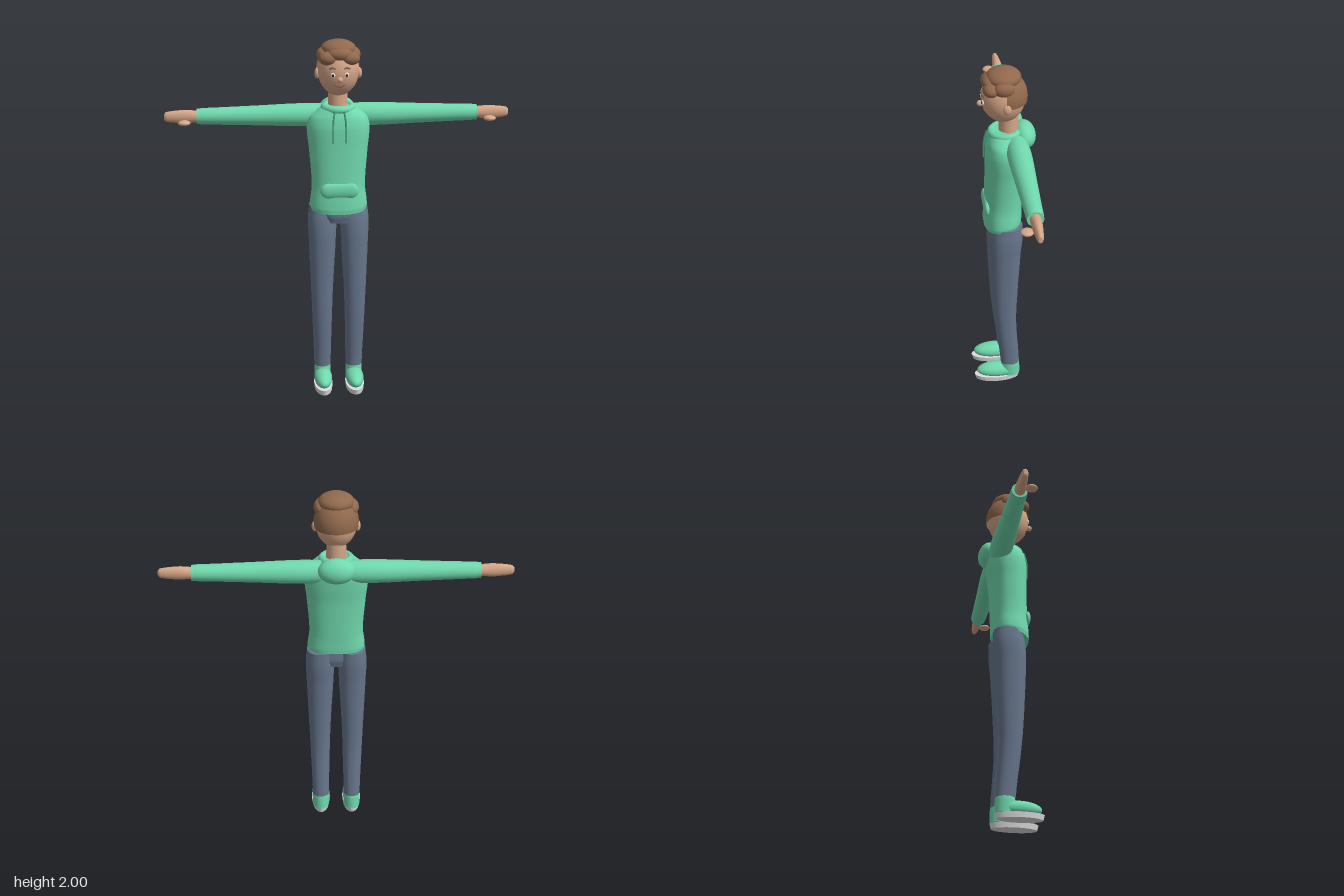
import * as THREE from 'three';

const mat = (name, color) => {
  const m = new THREE.MeshStandardMaterial({ color, side: THREE.DoubleSide });
  m.name = name;
  return m;
};

// Smooth tube through cross-sections [y, centreX, radiusX, frontZ, backZ]
function loft(sections, { n = 2, steps = 5, seg = 36, shift = null } = {}) {
  const rows = [];
  const cr = (a, b, c, d, t) =>
    0.5 * (2 * b + (c - a) * t + (2 * a - 5 * b + 4 * c - d) * t * t + (3 * b - a - 3 * c + d) * t * t * t);
  const at = (i) => sections[Math.max(0, Math.min(sections.length - 1, i))];
  for (let i = 0; i < sections.length - 1; i++)
    for (let k = 0; k < steps; k++)
      rows.push(at(i).map((v, q) => q === 0
        ? v + (at(i + 1)[0] - v) * k / steps
        : cr(at(i - 1)[q], v, at(i + 1)[q], at(i + 2)[q], k / steps)));
  rows.push(at(sections.length - 1));
  const pos = [], idx = [];
  const ring = ([y, cx, rx, zf, zb]) => {
    for (let j = 0; j < seg; j++) {
      const a = j / seg * Math.PI * 2, c = Math.cos(a), s = Math.sin(a);
      const x = cx + rx * Math.sign(c) * Math.abs(c) ** (2 / n);
      const z = (zf + zb) / 2 + (zf - zb) / 2 * Math.sign(s) * Math.abs(s) ** (2 / n);
      pos.push(x, shift ? shift(y, z) : y, z);
    }
  };
  rows.forEach(ring);
  for (let i = 0; i < rows.length - 1; i++)
    for (let j = 0; j < seg; j++) {
      const a = i * seg + j, b = i * seg + (j + 1) % seg;
      idx.push(a, a + seg, b, b, a + seg, b + seg);
    }
  // End caps with their own vertices keep the rims sharp
  [rows[0], rows[rows.length - 1]].forEach((r, e) => {
    const base = pos.length / 3;
    ring(r);
    pos.push(r[1], shift ? shift(r[0], (r[3] + r[4]) / 2) : r[0], (r[3] + r[4]) / 2);
    for (let j = 0; j < seg; j++) {
      const p = base + j, q = base + (j + 1) % seg;
      e ? idx.push(base + seg, q, p) : idx.push(base + seg, p, q);
    }
  });
  const g = new THREE.BufferGeometry();
  g.setAttribute('position', new THREE.Float32BufferAttribute(pos, 3));
  g.setIndex(idx);
  g.computeVertexNormals();
  return g;
}

export function createModel() {
  const model = new THREE.Group();
  model.name = 'standingPerson';
  const skin = mat('skin', 0xd6a688), hair = mat('hair', 0x91694d), green = mat('hoodieGreen', 0x70d9ad);
  const cord = mat('cordGreen', 0x46a080), denim = mat('denim', 0x67768c), sole = mat('sole', 0xdedede);
  const white = mat('eyeWhite', 0xe9e4de), dark = mat('pupil', 0x2e2622), lip = mat('lip', 0x9c5f4e);

  const add = (name, geo, m, parent = model) => {
    const mesh = new THREE.Mesh(geo, m);
    mesh.name = name;
    parent.add(mesh);
    return mesh;
  };
  const ball = (name, m, p, r, parent = model) => {
    const b = add(name, new THREE.SphereGeometry(1, 28, 18), m, parent);
    b.position.set(...p);
    b.scale.set(...r);
    return b;
  };
  const tube = (name, pts, r, m) => add(name, new THREE.TubeGeometry(
    new THREE.CatmullRomCurve3(pts.map((p) => new THREE.Vector3(...p))), 16, r, 8), m);

  // Hoodie body, the hem rising a little towards the back
  add('hoodieBody', loft([
    [1.05, 0, 0.153, 0.106, -0.1], [1.08, 0, 0.158, 0.108, -0.102], [1.2, 0, 0.147, 0.1, -0.105],
    [1.4, 0, 0.161, 0.096, -0.115], [1.52, 0, 0.172, 0.096, -0.13], [1.58, 0, 0.158, 0.086, -0.13],
    [1.62, 0, 0.11, 0.07, -0.11], [1.64, 0, 0.08, 0.05, -0.09],
  ], { n: 2.3, shift: (y, z) => y + Math.max(0, 1.2 - y) / 0.15 * 0.035 * (0.1 - z) / 0.2 }), green);
  const collar = add('collar', new THREE.TorusGeometry(0.076, 0.02, 12, 40), green);
  collar.rotation.x = Math.PI / 2 + 0.05;
  collar.position.set(0, 1.628, -0.015);
  ball('hood', green, [0, 1.6, -0.117], [0.1, 0.07, 0.06]).rotation.x = 0.15;
  const pocket = add('pocket', new THREE.CapsuleGeometry(0.042, 0.125, 8, 20), green);
  pocket.rotation.z = Math.PI / 2;
  pocket.scale.z = 0.45;
  pocket.position.set(0, 1.183, 0.093);

  // Jeans seat
  add('jeansSeat', loft([
    [0.99, 0, 0.075, 0.075, -0.075], [1.03, 0, 0.088, 0.085, -0.085], [1.1, 0, 0.1, 0.08, -0.08],
  ], { n: 3 }), denim);

  for (const s of [1, -1]) {
    const side = s > 0 ? 'left' : 'right';

    // Arm, built along local y and turned outwards
    const arm = new THREE.Group();
    arm.name = side + 'Arm';
    arm.rotation.z = -s * Math.PI / 2;
    arm.position.set(0, 1.575, -0.068);
    model.add(arm);
    add(side + 'Sleeve', loft([
      [0.08, 0, 0.062, 0.06, -0.06], [0.2, 0, 0.063, 0.064, -0.064], [0.45, 0, 0.054, 0.055, -0.055],
      [0.74, 0, 0.045, 0.045, -0.045], [0.768, 0, 0.042, 0.043, -0.043],
    ]), green, arm);
    add(side + 'Hand', loft([
      [0.74, 0, 0.03, 0.028, -0.028], [0.78, 0, 0.033, 0.029, -0.029], [0.83, 0, 0.037, 0.027, -0.027],
      [0.9, 0, 0.032, 0.021, -0.021], [0.935, 0, 0.026, 0.016, -0.016], [0.945, 0, 0.016, 0.009, -0.009],
    ]), skin, arm);
    ball(side + 'Thumb', skin, [s * 0.835, 1.55, -0.018], [0.034, 0.015, 0.033]);

    // Jeans leg
    add(side + 'Leg', loft([
      [0.115, s * 0.09, 0.047, 0.022, -0.086], [0.4, s * 0.092, 0.055, 0.053, -0.068],
      [0.6, s * 0.0925, 0.0625, 0.068, -0.073], [0.9, s * 0.09, 0.076, 0.08, -0.09],
      [1.0, s * 0.09, 0.079, 0.076, -0.1], [1.08, s * 0.088, 0.073, 0.062, -0.1],
    ], { n: 2.2 }), denim);

    // Shoe: sole, upper and ankle
    const bottom = add(side + 'Sole', new THREE.CylinderGeometry(1, 0.94, 0.03, 36), sole);
    bottom.scale.set(0.053, 1, 0.133);
    bottom.position.set(s * 0.09, 0.015, 0.043);
    const upper = new THREE.SphereGeometry(1, 32, 20);
    const p = upper.attributes.position;
    for (let i = 0; i < p.count; i++) p.setY(i, Math.max(-0.55, p.getY(i)));
    upper.computeVertexNormals();
    const shoe = add(side + 'Shoe', upper, green);
    shoe.scale.set(0.051, 0.046, 0.126);
    shoe.position.set(s * 0.09, 0.056, 0.036);
    add(side + 'Ankle', loft([
      [0.03, s * 0.09, 0.046, 0.02, -0.089], [0.1, s * 0.09, 0.047, 0.02, -0.088],
      [0.13, s * 0.09, 0.045, 0.015, -0.084],
    ]), green);

    // Drawstring
    tube(side + 'Drawstring', [[s * 0.026, 1.62, 0.083], [s * 0.034, 1.56, 0.096], [s * 0.035, 1.45, 0.099]],
      0.005, cord);
  }

  // Neck and head
  const neck = add('neck', new THREE.CylinderGeometry(0.052, 0.054, 0.16, 28), skin);
  neck.position.set(0, 1.68, -0.032);
  const C = [0, 1.835, -0.004], R = [0.112, 0.14, 0.118];
  ball('head', skin, C, R);
  const faceZ = (x, y) => C[2] + R[2] * Math.sqrt(1 - (x / R[0]) ** 2 - ((y - C[1]) / R[1]) ** 2);
  ball('nose', skin, [0, 1.802, 0.12], [0.016, 0.016, 0.016]);
  tube('mouth', [-0.026, -0.013, 0, 0.013, 0.026].map((x) => {
    const y = 1.762 + x * x * 14;
    return [x, y, faceZ(x, y)];
  }), 0.004, lip);
  for (const s of [1, -1]) {
    const side = s > 0 ? 'left' : 'right';
    const z = faceZ(0.037, 1.825);
    ball(side + 'Eye', white, [s * 0.037, 1.825, z], [0.013, 0.014, 0.007]).rotation.y = s * 0.3;
    ball(side + 'Pupil', dark, [s * 0.037, 1.825, z + 0.005], [0.007, 0.008, 0.004]).rotation.y = s * 0.3;
    tube(side + 'Brow', [0.022, 0.038, 0.054].map((x, i) => {
      const y = 1.858 + (i === 1 ? 0.006 : 0);
      return [s * x, y, faceZ(x, y)];
    }), 0.005, hair);
    ball(side + 'Ear', skin, [s * 0.114, 1.815, -0.012], [0.015, 0.03, 0.022]);
    // Side curls of the fringe
    ball(side + 'FringeCurl', hair, [s * 0.058, 1.908, 0.066], [0.053, 0.037, 0.044]);
    ball(side + 'SideCurl', hair, [s * 0.085, 1.918, 0.0], [0.034, 0.04, 0.055]);
  }

  // Hair at the back, top and front
  const back = add('backHair', new THREE.SphereGeometry(1, 32, 20, Math.PI, Math.PI, 0, Math.PI * 0.56), hair);
  back.scale.set(0.119, 0.138, 0.122);
  back.position.set(0, 1.84, -0.01);
  ball('topHair', hair, [0, 1.95, -0.005], [0.095, 0.05, 0.093]);
  ball('frontCurl', hair, [0.005, 1.93, 0.07], [0.068, 0.037, 0.042]);
  return model;
}
